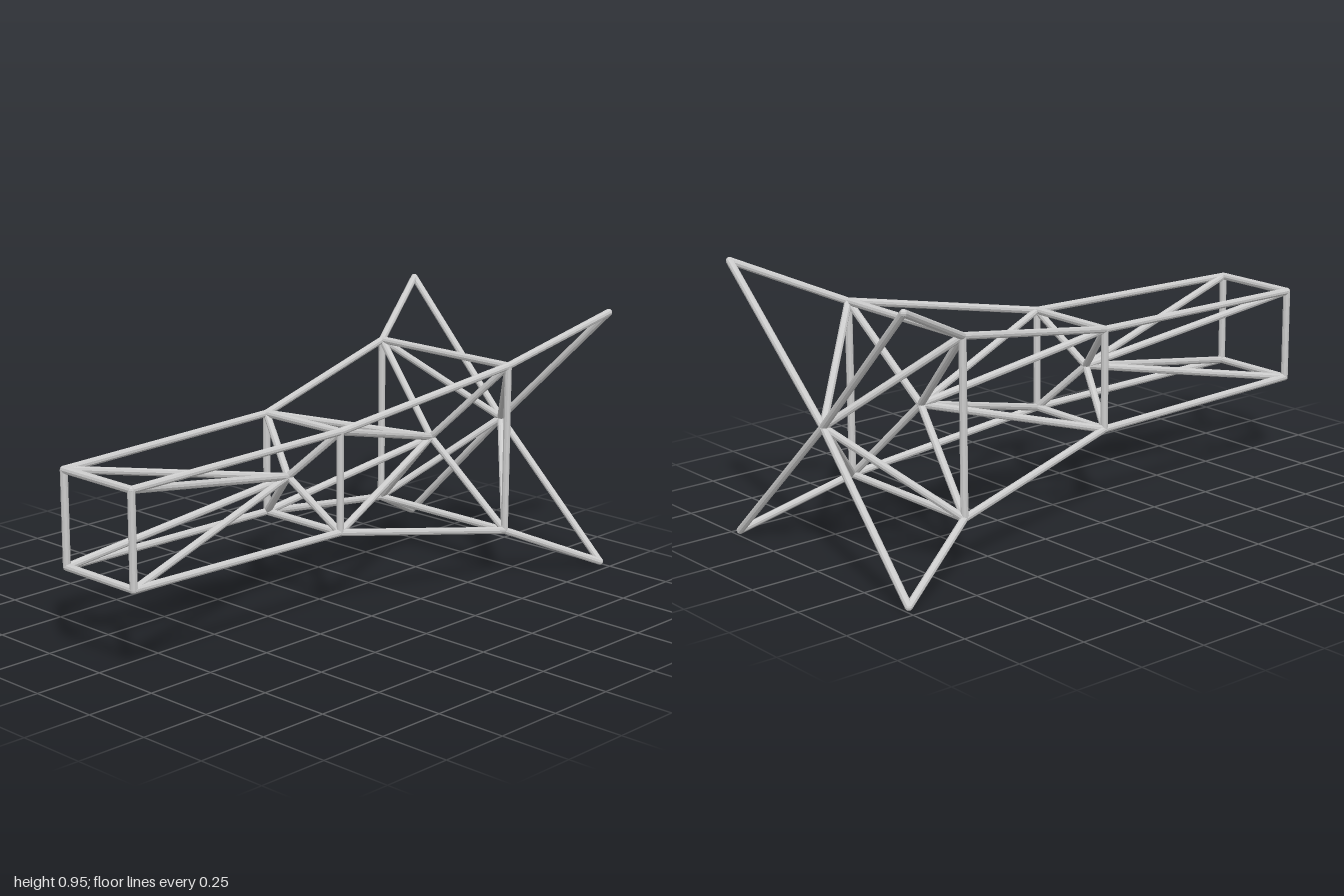
import * as THREE from 'three';

const R = 0.0128;   // rod radius
const CY = 0.474;   // height of the truss axis

export function createModel() {
  const model = new THREE.Group();
  model.name = 'trussFrame';
  const steel = new THREE.MeshStandardMaterial({ color: 0xcccccc, flatShading: true });
  steel.name = 'lightGreySteel';
  const up = new THREE.Vector3(0, 1, 0);

  // Straight round rod between two points
  function rod(name, a, b) {
    const dir = b.clone().sub(a);
    const mesh = new THREE.Mesh(new THREE.CylinderGeometry(R, R, dir.length(), 10), steel);
    mesh.position.copy(a).add(b).multiplyScalar(0.5);
    mesh.quaternion.setFromUnitVectors(up, dir.normalize());
    mesh.name = name;
    model.add(mesh);
  }

  // Small ball closing the rod ends
  function joint(name, p) {
    const mesh = new THREE.Mesh(new THREE.SphereGeometry(R, 10, 6), steel);
    mesh.position.copy(p);
    mesh.name = name;
    model.add(mesh);
  }

  const corners = (half, z) => [[1, 1], [-1, 1], [-1, -1], [1, -1]]
    .map(([sx, sy]) => new THREE.Vector3(sx * half, CY + sy * half, z));

  // Four stations from the front square to the flared rear tips
  const stations = [
    corners(0.162, 0.987),
    corners(0.176, 0.08),
    corners(0.301, -0.636),
    corners(0.463, -0.988),
  ];
  // One hub on the axis inside each bay
  const hubs = [0.152, -0.573, -0.963].map((z) => new THREE.Vector3(0, CY, z));

  // Square frames; the rear tips stay open
  stations.forEach((pts, s) => pts.forEach((p, i) => {
    joint('cornerJoint', p);
    if (s < 3) rod('squareFrameBar', p, pts[(i + 1) % 4]);
  }));

  // Longerons and diagonal braces of each bay
  hubs.forEach((hub, s) => {
    joint('hubJoint', hub);
    for (let i = 0; i < 4; i++) {
      rod('longeron', stations[s][i], stations[s + 1][i]);
      rod('frontBrace', stations[s][i], hub);
      rod('rearBrace', stations[s + 1][i], hub);
    }
  });

  return model;
}
